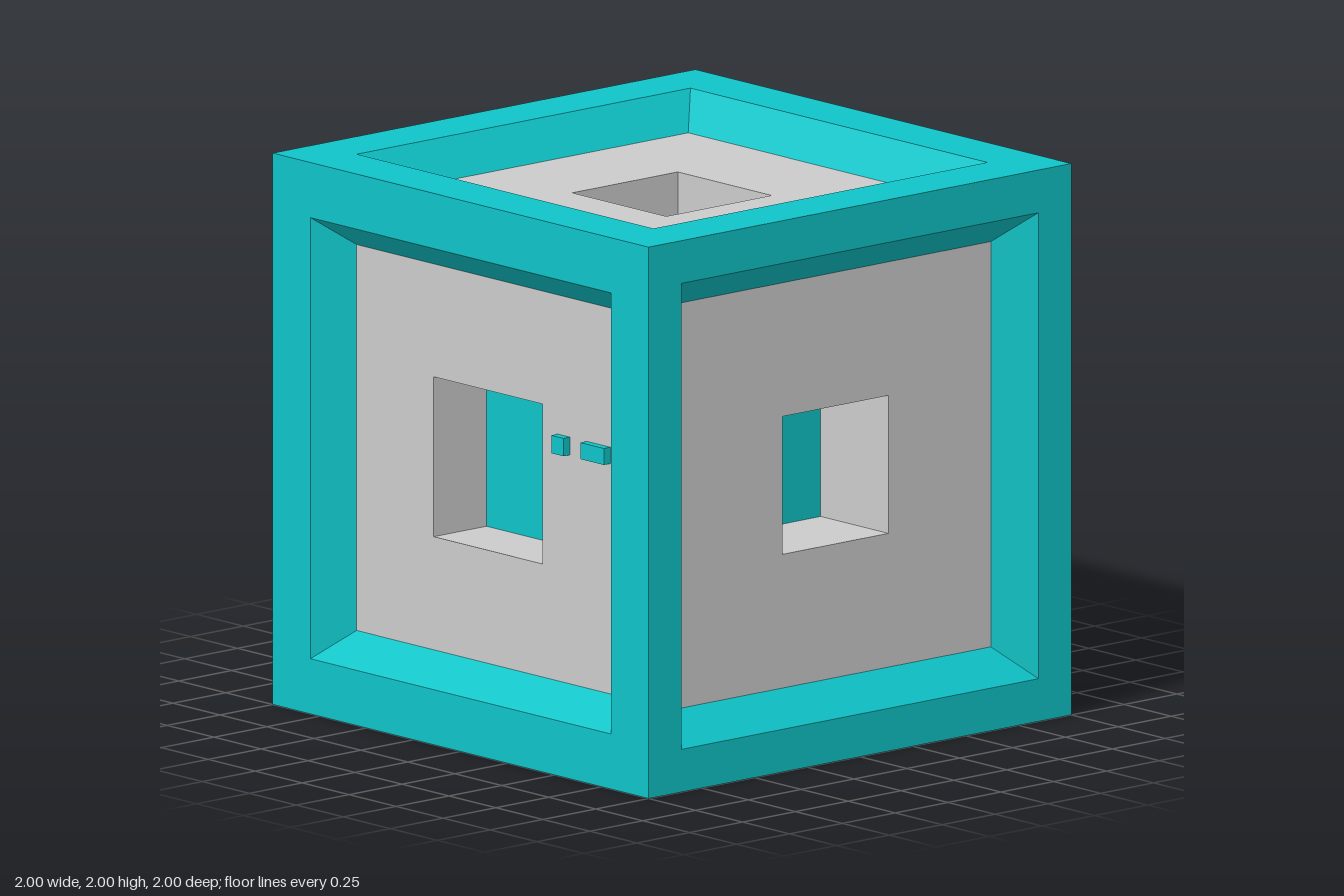
import * as THREE from 'three';

const teal = new THREE.MeshStandardMaterial({ color: 0x0fc4c8, flatShading: true });
const grey = new THREE.MeshStandardMaterial({ color: 0xcccccc, flatShading: true });

const RECESS = 0.13; // depth of the panels below the cube faces
const CORE = 0.62;   // half size of the inner core

// Square ring from [halfWidth, height] points, running from the outside inwards
function squareRing(name, points, material) {
  const profile = points.map(([half, y]) => new THREE.Vector2(half * Math.SQRT2, y));
  const geometry = new THREE.LatheGeometry(profile, 4, Math.PI / 4).toNonIndexed();
  geometry.computeVertexNormals();
  const mesh = new THREE.Mesh(geometry, material);
  mesh.name = name;
  return mesh;
}

function box(name, min, max, material) {
  const size = max.map((v, i) => v - min[i]);
  const mesh = new THREE.Mesh(new THREE.BoxGeometry(...size), material);
  mesh.position.set(...max.map((v, i) => (v + min[i]) / 2));
  mesh.name = name;
  return mesh;
}

// One cube face: flat rim and sloped recess, then a panel with a square hole
function cubeFace({ name, rotation, opening, panel, hole, floor = CORE }) {
  const face = new THREE.Group();
  face.name = name;
  const level = 1 - RECESS;
  face.add(
    squareRing('rim', [[1, 1], [opening, 1], [panel, level]], teal),
    squareRing('panel', [[panel, level], [hole, level], [hole, floor]], grey),
  );
  face.rotation.set(...rotation);
  return face;
}

export function createModel() {
  const model = new THREE.Group();
  model.name = 'recessedCube';
  const cube = new THREE.Group();
  cube.name = 'cube';
  cube.position.y = 1;
  model.add(cube);

  // Six faces with their own opening, panel and hole half widths
  const q = Math.PI / 2;
  const faces = [
    { name: 'frontFace', rotation: [q, 0, 0], opening: 0.8, panel: 0.7, hole: 0.29 },
    { name: 'backFace', rotation: [-q, 0, 0], opening: 0.85, panel: 0.75, hole: 0.27 },
    { name: 'leftFace', rotation: [0, 0, -q], opening: 0.845, panel: 0.735, hole: 0.25, floor: 0.51 },
    { name: 'rightFace', rotation: [0, 0, q], opening: 0.81, panel: 0.72, hole: 0.27 },
    { name: 'topFace', rotation: [0, 0, 0], opening: 0.79, panel: 0.69, hole: 0.25 },
    { name: 'bottomFace', rotation: [2 * q, 0, 0], opening: 0.8, panel: 0.7, hole: 0.28 },
  ];
  for (const face of faces) cube.add(cubeFace(face));

  // Core seen at the bottom of the holes, set deeper on the left side
  cube.add(box('core', [-CORE, -CORE, -CORE], [0.51, CORE, CORE], teal));

  // Two small buttons on the front panel
  const z = 1 - RECESS;
  cube.add(
    box('smallButton', [0.37, 0.13, z - 0.02], [0.435, 0.195, z + 0.03], teal),
    box('wideButton', [0.525, 0.135, z - 0.02], [0.65, 0.195, z + 0.03], teal),
  );
  return model;
}
